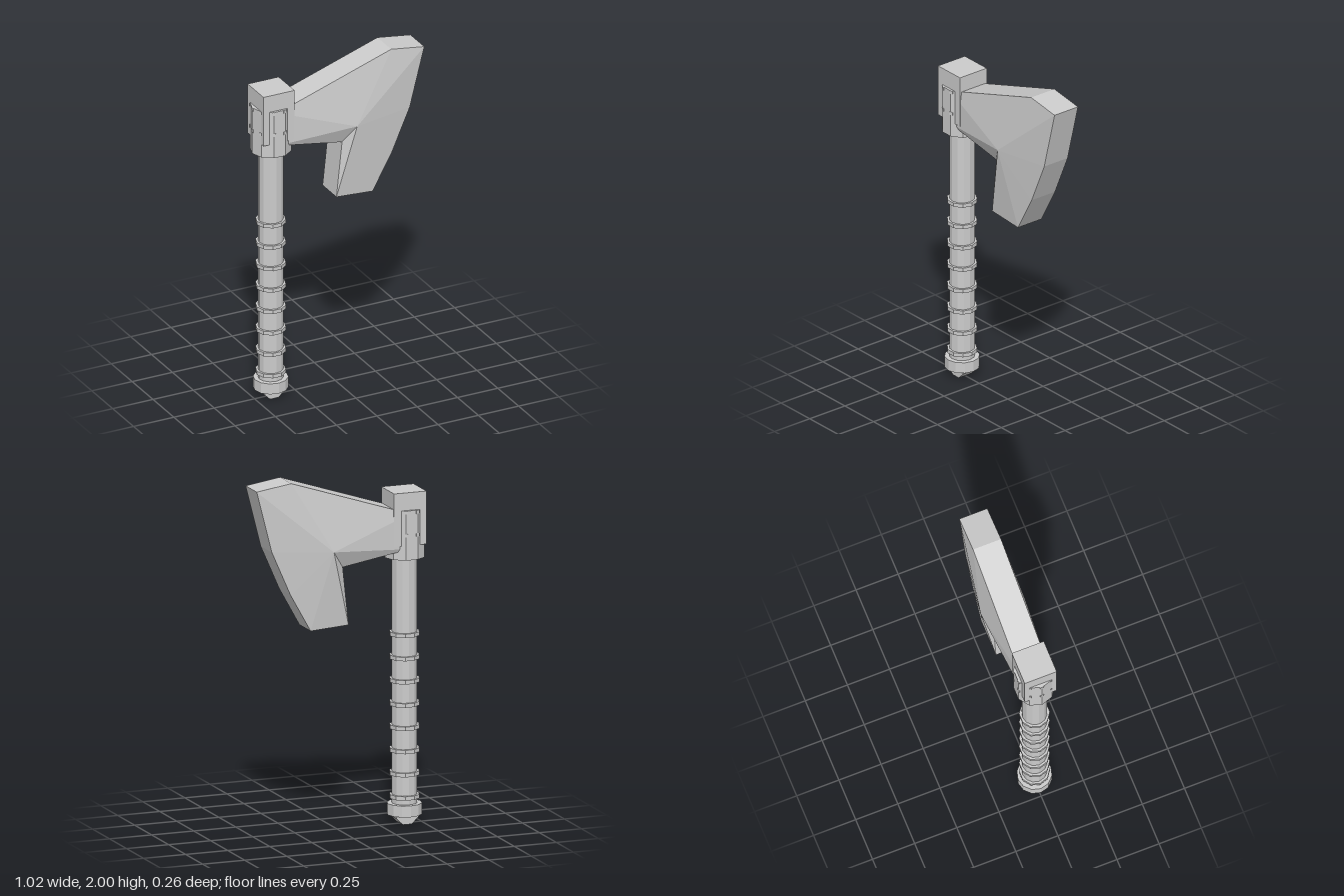
import * as THREE from 'three';

const AXIS_X = -0.4; // centre line of the handle
const mat = new THREE.MeshStandardMaterial({ color: 0xcccccc, flatShading: true });

function add(group, name, geometry, x, y, z = 0) {
  const mesh = new THREE.Mesh(geometry, mat);
  mesh.name = name;
  mesh.position.set(x, y, z);
  group.add(mesh);
  return mesh;
}

// Faceted upright cylinder between two heights, with a corner on the x axis
function drum(group, name, radius, y0, y1, sides) {
  const g = new THREE.CylinderGeometry(radius, radius, y1 - y0, sides);
  g.rotateY(Math.PI / 2);
  return add(group, name, g, AXIS_X, (y0 + y1) / 2);
}

// Blade: flat rim around the outline, both sides rising to a central peak
function bladeGeometry() {
  const outline = [
    [-0.4, 1.767], [0.305, 2.0], [0.51, 1.97], [0.42, 1.62], [0.31, 1.37],
    [0.19, 1.155], [-0.035, 1.17], [0, 1.5], [-0.4, 1.567],
  ];
  const rim = 0.083;
  const peak = [0.07, 1.6], peakZ = 0.13;
  const pos = [];
  outline.forEach((a, i) => {
    const b = outline[(i + 1) % outline.length];
    pos.push(...peak, peakZ, ...b, rim, ...a, rim);
    pos.push(...peak, -peakZ, ...a, -rim, ...b, -rim);
    pos.push(...a, rim, ...b, rim, ...b, -rim);
    pos.push(...a, rim, ...b, -rim, ...a, -rim);
  });
  const g = new THREE.BufferGeometry();
  g.setAttribute('position', new THREE.Float32BufferAttribute(pos, 3));
  g.computeVertexNormals();
  return g;
}

export function createModel() {
  const axe = new THREE.Group();
  axe.name = 'axe';

  // Handle with evenly spaced grip rings
  drum(axe, 'handle', 0.071, 0.08, 1.56, 12);
  const grip = new THREE.Group();
  grip.name = 'gripRings';
  axe.add(grip);
  for (let i = 0; i < 8; i++) {
    const y = 0.155 + i * 0.1315;
    drum(grip, 'gripRing', 0.085, y - 0.011, y + 0.011, 10);
  }

  // Pommel: collar and an octagonal knob lying front to back
  drum(axe, 'pommelCollar', 0.098, 0.052, 0.116, 12);
  const knob = new THREE.CylinderGeometry(0.0704, 0.0704, 0.09, 8);
  knob.rotateY(Math.PI / 8).rotateX(Math.PI / 2);
  add(axe, 'pommelKnob', knob, AXIS_X, 0.065);

  // Head: socket sleeve around the handle and a block through it
  drum(axe, 'socket', 0.115, 1.51, 1.79, 10);
  add(axe, 'headBlock', new THREE.BoxGeometry(0.192, 0.3, 0.19), AXIS_X + 0.003, 1.74);

  // Small studs on the corners of the socket, in two rows
  const studs = new THREE.Group();
  studs.name = 'socketStuds';
  axe.add(studs);
  for (const y of [1.65, 1.78]) {
    for (let i = 0; i < 10; i++) {
      const a = (i / 10) * Math.PI * 2;
      const stud = add(studs, 'stud', new THREE.BoxGeometry(0.01, 0.018, 0.022),
        AXIS_X + Math.cos(a) * 0.11, y, -Math.sin(a) * 0.11);
      stud.rotation.y = a;
    }
  }

  add(axe, 'blade', bladeGeometry(), 0, 0);
  return axe;
}
